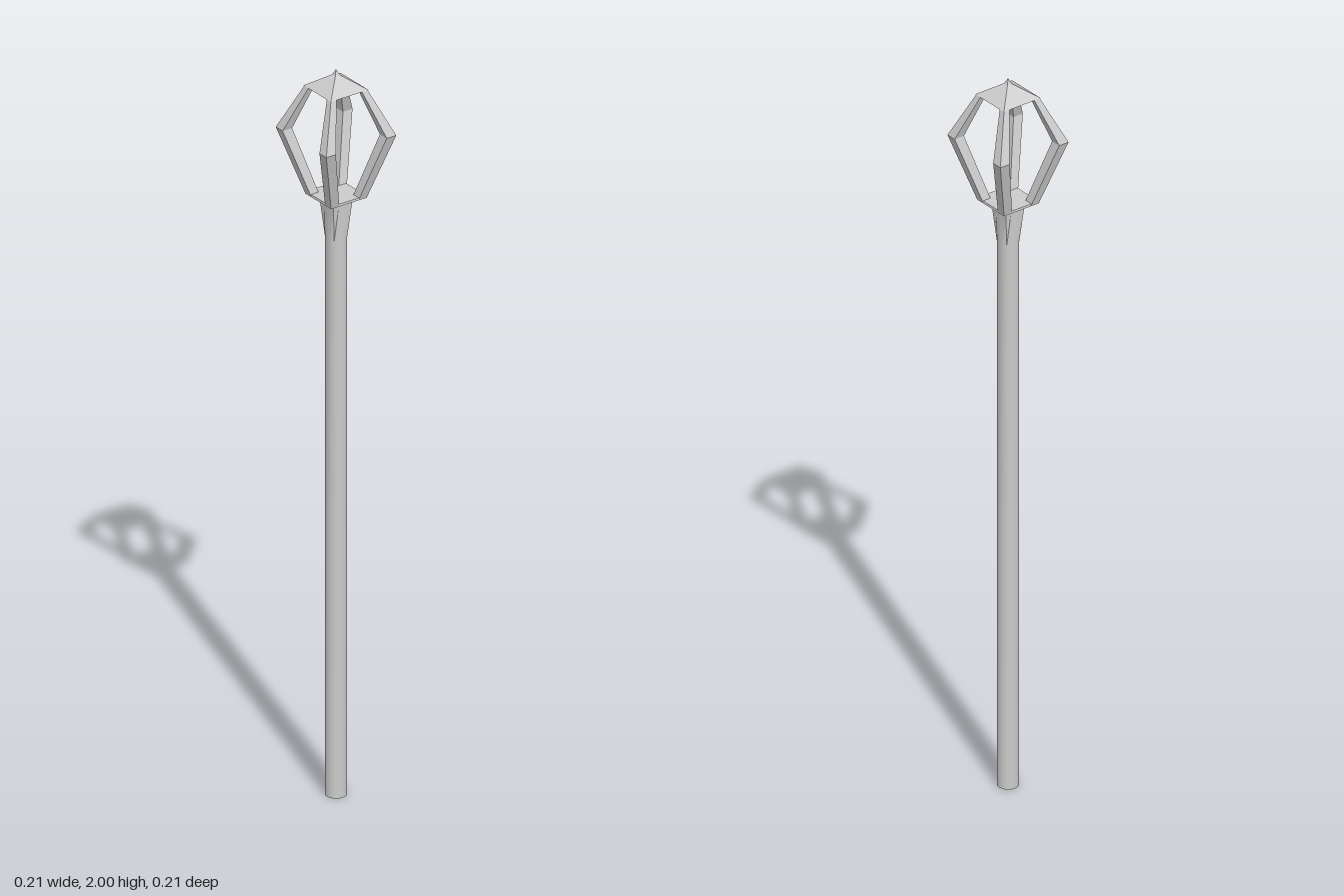
import * as THREE from 'three';
import { toCreasedNormals } from 'three/addons/utils/BufferGeometryUtils.js';

// Rings run counter-clockwise seen from above
const circleRing = (r, y, n = 16) => Array.from({ length: n }, (_, i) => {
  const a = (i / n) * Math.PI * 2 + Math.PI / 4;
  return [r * Math.cos(a), y, -r * Math.sin(a)];
});

// Square outline sampled at the same angles as a circle
const squareOfSixteen = (half, y) => circleRing(1, y).map(([x, , z]) => {
  const k = half / Math.max(Math.abs(x), Math.abs(z));
  return [x * k, y, z * k];
});

const squareRing = (half, y, offset = 0) =>
  circleRing(half * Math.SQRT2, y, 4).map(([x, , z]) => [x + offset, y, z + offset]);

// Closed solid through a stack of rings, bottom to top
function loft(rings) {
  const pos = [];
  const n = rings[0].length;
  const tri = (...pts) => pts.forEach((p) => pos.push(...p));
  for (let i = 0; i < rings.length - 1; i++) {
    for (let j = 0; j < n; j++) {
      const k = (j + 1) % n;
      const [a, b, c, d] = [rings[i][j], rings[i][k], rings[i + 1][k], rings[i + 1][j]];
      tri(a, b, c);
      tri(a, c, d);
    }
  }
  const first = rings[0];
  const last = rings[rings.length - 1];
  for (let j = 1; j < n - 1; j++) {
    tri(first[0], first[j + 1], first[j]);
    tri(last[0], last[j], last[j + 1]);
  }
  const geo = new THREE.BufferGeometry();
  geo.setAttribute('position', new THREE.Float32BufferAttribute(pos, 3));
  geo.computeVertexNormals();
  return geo;
}

export function createModel() {
  const model = new THREE.Group();
  model.name = 'lampPost';
  const smooth = new THREE.MeshStandardMaterial({ color: 0xcccccc });
  const flat = new THREE.MeshStandardMaterial({ color: 0xcccccc, flatShading: true });

  const add = (name, geo, mat = flat) => {
    const mesh = new THREE.Mesh(geo, mat);
    mesh.name = name;
    model.add(mesh);
    return mesh;
  };

  // Round shaft whose neck blends into a square
  const shaft = loft([
    circleRing(0.028, 0), circleRing(0.028, 1.54), squareOfSixteen(0.029, 1.64),
  ]);
  add('shaft', toCreasedNormals(shaft, 0.5), smooth);

  // Flared square tray carrying the cage
  add('lanternBase', loft([
    squareRing(0.029, 1.64), squareRing(0.055, 1.652), squareRing(0.054, 1.658),
  ]));

  // Four bent corner bars; each level is [y, inner edge, outer edge]
  const levels = [[1.654, 0.03, 0.055], [1.83, 0.078, 0.107], [1.952, 0.038, 0.055]];
  const barGeo = loft(levels.map(([y, inner, outer]) =>
    squareRing((outer - inner) / 2, y, (outer + inner) / 2)));
  for (let i = 0; i < 4; i++) {
    add('cornerBar' + (i + 1), barGeo).rotation.y = (i * Math.PI) / 2;
  }

  // Pyramid roof with a small steeper point
  add('roof', loft([
    squareRing(0.058, 1.95), squareRing(0.007, 1.986), squareRing(0.0005, 2),
  ]));

  return model;
}
